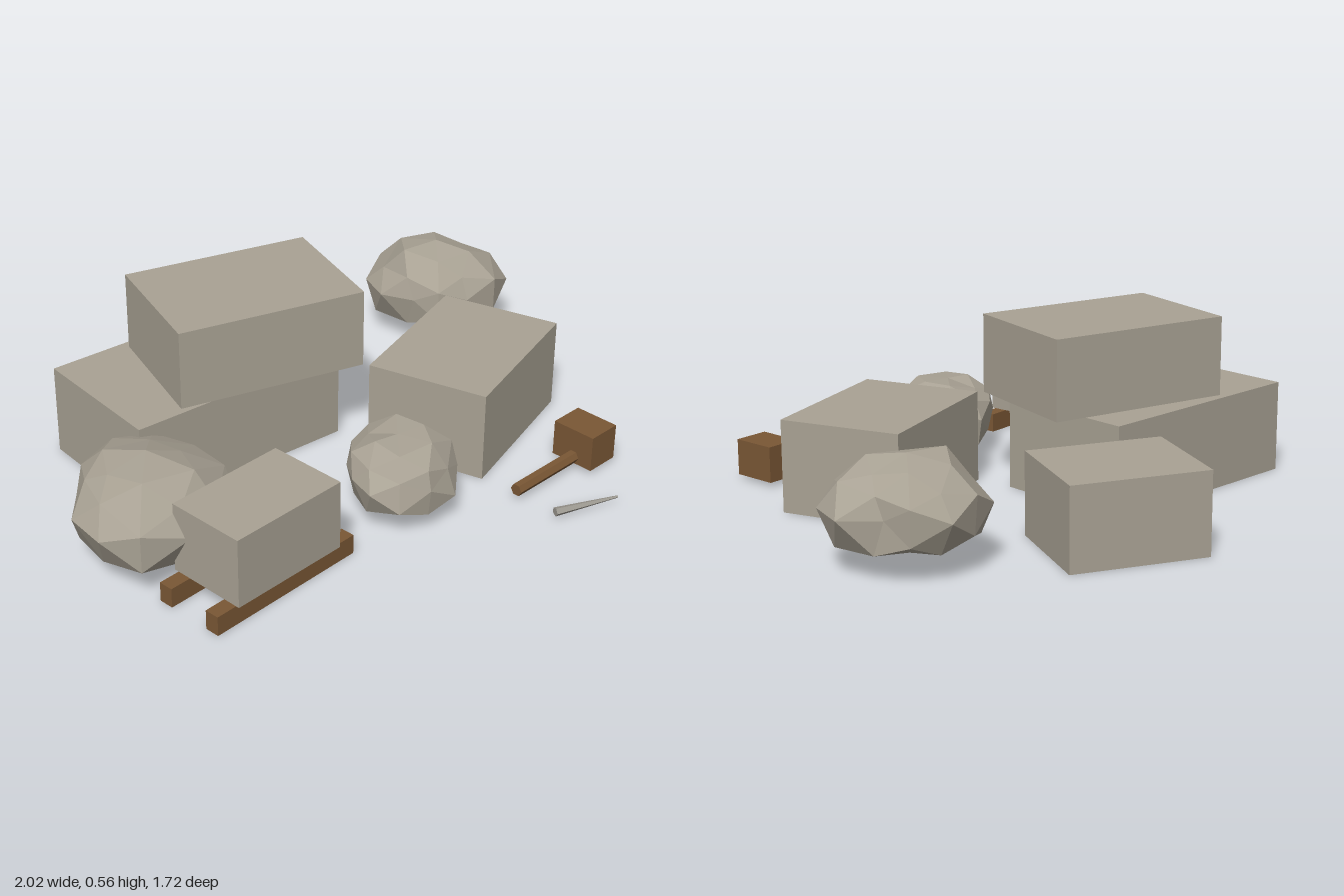
import * as THREE from 'three';

const material = (name, color) => {
  const m = new THREE.MeshStandardMaterial({ color, flatShading: true });
  m.name = name;
  return m;
};

// Seeded jitter from a direction, so coincident corners move together
const hash = (v, seed) => {
  const s = Math.sin(Math.round(v.x * 100) * 12.99 + Math.round(v.y * 100) * 78.23
    + Math.round(v.z * 100) * 37.72 + seed * 51.3) * 43758.5453;
  return (s - Math.floor(s)) * 2 - 1;
};

// Faceted rock: a plan outline (radius every 30 degrees from +x to +z), domed top, flat base
function boulderGeometry(outline, { base, middle, top }, seed) {
  const geometry = new THREE.IcosahedronGeometry(1, 1);
  const pos = geometry.attributes.position;
  const d = new THREE.Vector3();
  for (let i = 0; i < pos.count; i++) {
    d.fromBufferAttribute(pos, i);
    const turn = ((Math.atan2(d.z, d.x) / (Math.PI * 2) + 1) % 1) * 12;
    const k = Math.floor(turn) % 12;
    const radius = THREE.MathUtils.lerp(outline[k], outline[(k + 1) % 12], turn - Math.floor(turn));
    const r = radius * (1.02 + 0.09 * hash(d, seed));
    const rise = d.y > 0
      ? (top - middle) * d.y * (1 + 0.16 * hash(d, seed + 1))
      : (middle - base) * d.y * 2.1;
    const y = THREE.MathUtils.clamp(middle + rise, base, top);
    pos.setXYZ(i, d.x * r, y, d.z * r);
  }
  geometry.computeVertexNormals();
  return geometry;
}

export function createModel() {
  const group = new THREE.Group();
  const stone = material('stone', 0xa9a294);
  const wood = material('wood', 0x7a5735);
  const iron = material('iron', 0x9e9a92);

  const add = (name, geometry, mat, x, y, z, turn = 0, parent = group) => {
    const mesh = new THREE.Mesh(geometry, mat);
    mesh.name = name;
    mesh.position.set(x, y, z);
    mesh.rotation.y = turn;
    parent.add(mesh);
    return mesh;
  };
  const box = (w, h, d) => new THREE.BoxGeometry(w, h, d);

  // Cut stone blocks: width, height, depth, x, base y, z, turn
  const blocks = [
    ['lowerBlock', 0.775, 0.3, 0.48, -0.348, 0, -0.16, 0.12],
    ['upperBlock', 0.626, 0.26, 0.44, -0.203, 0.3, -0.106, -0.1],
    ['backBlock', 0.442, 0.265, 0.37, 0.164, 0, -0.623, -0.305],
    ['sideBlock', 0.555, 0.3, 0.408, 0.442, 0, 0.205, 0.5],
    ['sledBlock', 0.412, 0.227, 0.265, -0.568, 0.064, 0.593, 0.245],
  ];
  for (const [name, w, h, d, x, y, z, turn] of blocks) {
    add(name, box(w, h, d), stone, x, y + h / 2, z, turn);
  }

  // Two wooden skids under the small block
  const skids = new THREE.Group();
  skids.name = 'skids';
  skids.position.set(-0.568, 0.032, 0.594);
  skids.rotation.y = 0.25;
  group.add(skids);
  for (const side of [-1, 1]) add('skid', box(0.556, 0.064, 0.048), wood, 0, 0, side * 0.095, 0, skids);

  // Rough boulders
  add('leftBoulder', boulderGeometry(
    [0.225, 0.25, 0.26, 0.24, 0.28, 0.245, 0.228, 0.225, 0.24, 0.24, 0.245, 0.25],
    { base: 0.065, middle: 0.19, top: 0.345 }, 3), stone, -0.77, 0, 0.3);
  add('frontBoulder', boulderGeometry(
    [0.166, 0.187, 0.187, 0.193, 0.187, 0.182, 0.16, 0.155, 0.16, 0.203, 0.2, 0.176],
    { base: 0.062, middle: 0.15, top: 0.27 }, 7), stone, -0.018, 0, 0.497);
  add('rightBoulder', boulderGeometry(
    [0.235, 0.245, 0.225, 0.2, 0.198, 0.198, 0.24, 0.225, 0.225, 0.208, 0.192, 0.16],
    { base: 0.085, middle: 0.19, top: 0.345 }, 11), stone, 0.757, 0, -0.406);

  // Mallet lying on the ground
  const mallet = new THREE.Group();
  mallet.name = 'mallet';
  mallet.position.set(0.643, 0, 0.592);
  mallet.rotation.y = 0.22;
  group.add(mallet);
  add('malletHead', box(0.118, 0.12, 0.153), wood, 0, 0.074, 0, 0, mallet);
  const handle = new THREE.CylinderGeometry(0.021, 0.021, 0.31, 6).rotateZ(Math.PI / 2);
  add('malletHandle', handle, wood, -0.185, 0.038, 0.005, 0, mallet);

  // Tapered chisel
  const chisel = new THREE.CylinderGeometry(0.015, 0.004, 0.22, 5).rotateZ(Math.PI / 2);
  add('chisel', chisel, iron, 0.461, 0.025, 0.833, -0.16);

  return group;
}
